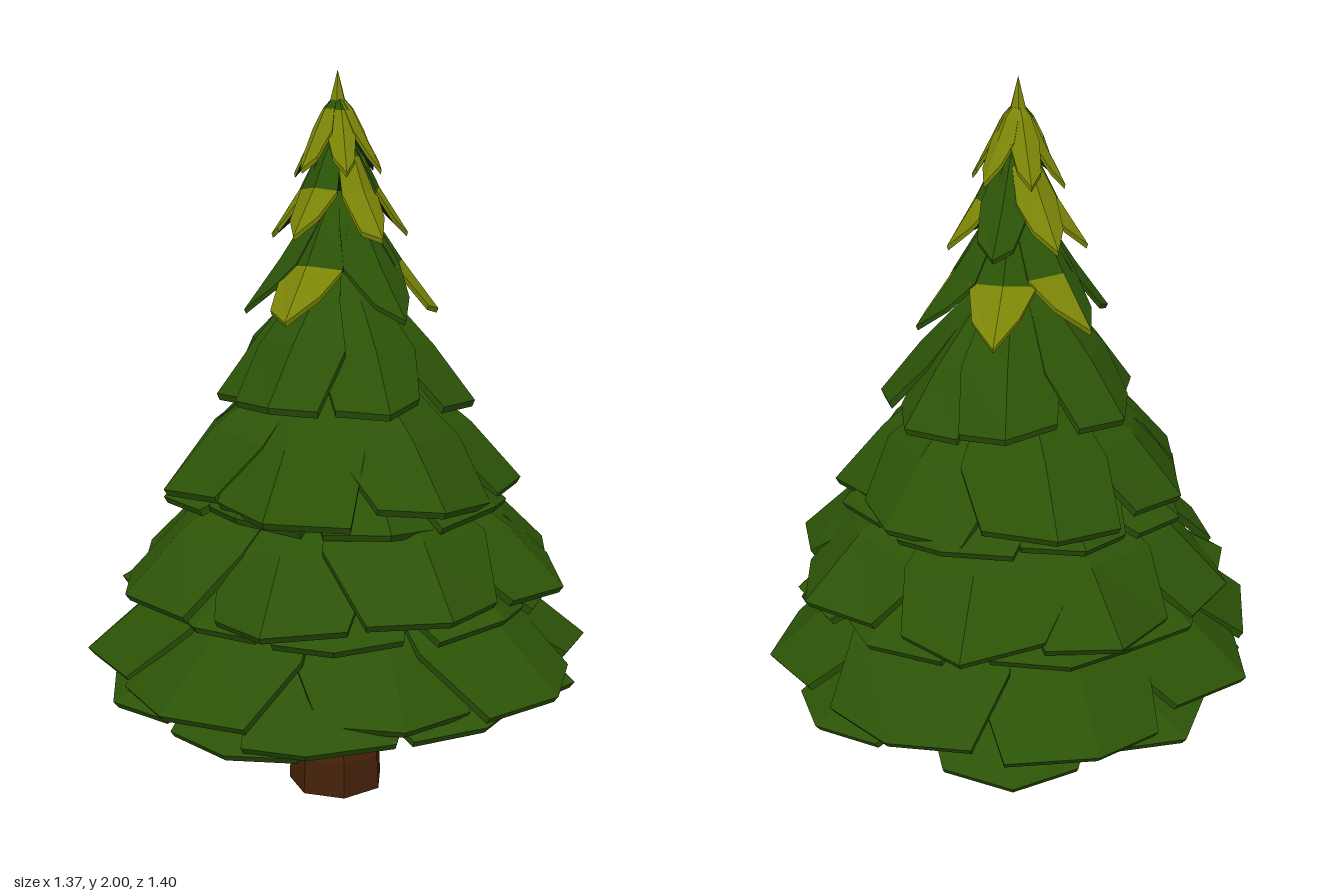
import * as THREE from 'three';

const material = (name, color) => {
  const m = new THREE.MeshStandardMaterial({ color, flatShading: true });
  m.name = name;
  return m;
};

// Small seeded generator, returns -1..1
let seed = 11;
const jitter = () => {
  seed = (seed * 16807) % 2147483647;
  return (seed / 2147483647) * 2 - 1;
};

const CENTRE_X = -0.02, CENTRE_Z = -0.01;

// One drooping bough: a folded plate of four rows and three columns.
// rows: [radius, height, share of the half angle]; point pulls the outer corners back to make a tip;
// tint(row, column) is true where the bough is yellow
function boughGeometry(angle, half, rows, droop, point, thick, tint) {
  const skew = jitter() * 0.12;
  const grid = rows.map(([r, y, w], i) => [-1, 0, 1].map((side) => {
    const back = side && i === 3 ? point * (1 + 0.5 * jitter()) : 0;
    const [pr, py] = rows[Math.max(i - 1, 0)];
    const a = angle + half * w * (side + (side ? jitter() * 0.1 : skew));
    const rr = (r + (pr - r) * back) * (side ? 0.965 + 0.02 * jitter() : 1);
    const yy = y + (py - y) * back - (side ? droop * (i / 3) * (1 + 0.4 * jitter()) : 0);
    return new THREE.Vector3(rr * Math.sin(a), yy, rr * Math.cos(a));
  }));
  const under = grid.map((row) => row.map((p) => new THREE.Vector3(p.x * 0.98, p.y - thick, p.z * 0.98)));
  const faces = [[], [], []]; // green, underside, yellow
  const quad = (list, a, b, c, d) => [a, b, c, a, c, d].forEach((p) => list.push(p.x, p.y, p.z));
  for (let i = 0; i < 3; i++) {
    for (let j = 0; j < 2; j++) {
      quad(faces[tint(i, j) ? 2 : 0], grid[i][j], grid[i + 1][j], grid[i + 1][j + 1], grid[i][j + 1]);
      quad(faces[1], under[i][j], under[i][j + 1], under[i + 1][j + 1], under[i + 1][j]);
    }
    // side edges
    quad(faces[tint(i, 0) ? 2 : 0], grid[i][0], under[i][0], under[i + 1][0], grid[i + 1][0]);
    quad(faces[tint(i, 1) ? 2 : 0], grid[i][2], grid[i + 1][2], under[i + 1][2], under[i][2]);
  }
  // outer edge
  for (let j = 0; j < 2; j++) {
    quad(faces[tint(2, j) ? 2 : 0], grid[3][j], under[3][j], under[3][j + 1], grid[3][j + 1]);
  }
  const geometry = new THREE.BufferGeometry();
  geometry.setAttribute('position', new THREE.Float32BufferAttribute(faces.flat(), 3));
  let start = 0;
  faces.forEach((f, k) => {
    if (f.length) geometry.addGroup(start, f.length / 3, k);
    start += f.length / 3;
  });
  geometry.computeVertexNormals();
  return geometry;
}

const ring = (n, offset) => Array.from({ length: n }, (_, i) => offset + (i / n) * 360 + jitter() * 5);

export function createModel() {
  const tree = new THREE.Group();
  tree.name = 'pineTree';
  const green = material('needle green', 0x2b5307);
  const dark = material('shaded green', 0x08230c);
  const yellow = material('yellow green', 0x7c8607);
  const bark = material('bark brown', 0x452109);

  // Trunk: flared column, open at the foot
  const trunkProfile = [[0.137, 0], [0.132, 0.1], [0.092, 0.21], [0.076, 0.38], [0.06, 0.7]];
  const trunk = new THREE.Mesh(
    new THREE.LatheGeometry(trunkProfile.map(([r, y]) => new THREE.Vector2(r, y)), 7, 0.25), bark);
  trunk.name = 'trunk';
  trunk.position.set(-0.025, 0, -0.02);
  tree.add(trunk);

  // Twigs under the canopy
  const twig = (name, from, to, r) => {
    const a = new THREE.Vector3(...from), b = new THREE.Vector3(...to);
    const mesh = new THREE.Mesh(new THREE.CylinderGeometry(r * 0.5, r, a.distanceTo(b), 5), bark);
    mesh.name = name;
    mesh.position.copy(a).add(b).multiplyScalar(0.5);
    mesh.quaternion.setFromUnitVectors(new THREE.Vector3(0, 1, 0), b.clone().sub(a).normalize());
    tree.add(mesh);
  };
  twig('twigLong', [-0.04, 0.44, -0.04], [-0.19, 0.51, -0.17], 0.014);
  twig('twigFork', [-0.11, 0.473, -0.1], [-0.2, 0.49, -0.09], 0.009);
  twig('twigShort', [0, 0.45, 0], [0.07, 0.49, 0.04], 0.012);

  // Tiers from the bottom up: rim, shoulder and crown as [radius, height], with bough directions in degrees.
  // reach: rim radius per bough; yellow: per bough, [first yellow row, only this column]
  const tiers = [
    { name: 'skirtLower', rim: [0.67, 0.375], mid: [0.48, 0.46], top: [0.05, 0.65],
      at: [0, 38, 80, 126, 178, 222, 262, 305, 338], droop: 0.02,
      reach: [0.7, 0.64, 0.66, 0.67, 0.7, 0.68, 0.65, 0.7, 0.68] },
    { name: 'skirtUpper', rim: [0.7, 0.44], mid: [0.52, 0.59], top: [0.1, 0.76],
      at: [18, 58, 102, 150, 195, 242, 284, 324], droop: 0.03,
      reach: [0.65, 0.7, 0.7, 0.71, 0.7, 0.7, 0.71, 0.71] },
    { name: 'lowerFill', rim: [0.59, 0.62], mid: [0.44, 0.71], top: [0.08, 0.85],
      at: ring(8, 8), droop: 0.03 },
    { name: 'lowerCanopy', rim: [0.625, 0.67], mid: [0.46, 0.83], top: [0.08, 1.02],
      at: ring(8, 30), droop: 0.03 },
    { name: 'middleFill', rim: [0.49, 0.89], mid: [0.36, 0.98], top: [0.07, 1.1],
      at: ring(8, 20), droop: 0.03 },
    { name: 'middleCanopy', rim: [0.5, 0.93], mid: [0.36, 1.085], top: [0.06, 1.28],
      at: ring(7, 40), droop: 0.03 },
    { name: 'upperCanopy', rim: [0.355, 1.155], mid: [0.245, 1.3], top: [0.04, 1.5],
      at: ring(7, 25), droop: 0.02 },
    { name: 'upperBoughs', rim: [0.265, 1.375], mid: [0.165, 1.51], top: [0.03, 1.69],
      at: [45, 105, 165, 227, 285, 333], droop: 0.01,
      yellow: [null, [2, 0], [2], [2, 0], null, [2]] },
    { name: 'crownBoughs', rim: [0.19, 1.58], mid: [0.11, 1.7], top: [0.02, 1.84],
      at: [45, 105, 160, 212, 262, 325], droop: 0.01,
      yellow: [[1], [2], null, [1], [2], [2]] },
    { name: 'crownTip', rim: [0.12, 1.74], mid: [0.068, 1.84], top: [0.014, 1.93],
      at: [15, 75, 135, 195, 255, 315], droop: 0, yellow: [[1], [0], [0], [0], [0], [1]] },
  ];

  for (const tier of tiers) {
    const group = new THREE.Group();
    group.name = tier.name;
    group.position.set(CENTRE_X * Math.min(1, 0.08 / tier.rim[0] + 0.3), 0, CENTRE_Z);
    const half = (Math.PI / tier.at.length) * 1.35;
    const big = tier.rim[0] > 0.3;
    const [[rr, ry], [mr, my], [tr, ty]] = [tier.rim, tier.mid, tier.top];
    tier.at.forEach((degrees, b) => {
      const grow = tier.reach ? tier.reach[b] / rr : 1 + jitter() * 0.04;
      const lift = jitter() * (big ? 0.02 : 0.01);
      const rows = [
        [tr, ty, 1],
        [(tr + mr) / 2, (ty + my) / 2 + 0.012 + lift / 2, 1],
        [mr * grow, my + lift, big ? 0.96 : 0.88],
        [rr * grow, ry + lift, big ? 0.64 : 0.42],
      ];
      const patch = tier.yellow?.[b];
      const tint = (i, j) => Boolean(patch) && i >= patch[0] && (patch[1] ?? j) === j;
      const geometry = boughGeometry(THREE.MathUtils.degToRad(degrees), half, rows, tier.droop,
        big ? 0.2 : 0.38, big ? 0.018 : 0.012, tint);
      const bough = new THREE.Mesh(geometry, [green, dark, yellow]);
      bough.name = 'bough';
      group.add(bough);
    });
    tree.add(group);
  }

  // Pointed tip
  const spire = new THREE.Mesh(new THREE.ConeGeometry(0.036, 0.13, 6), yellow);
  spire.name = 'spire';
  spire.position.set(CENTRE_X, 1.935, CENTRE_Z);
  tree.add(spire);

  return tree;
}
